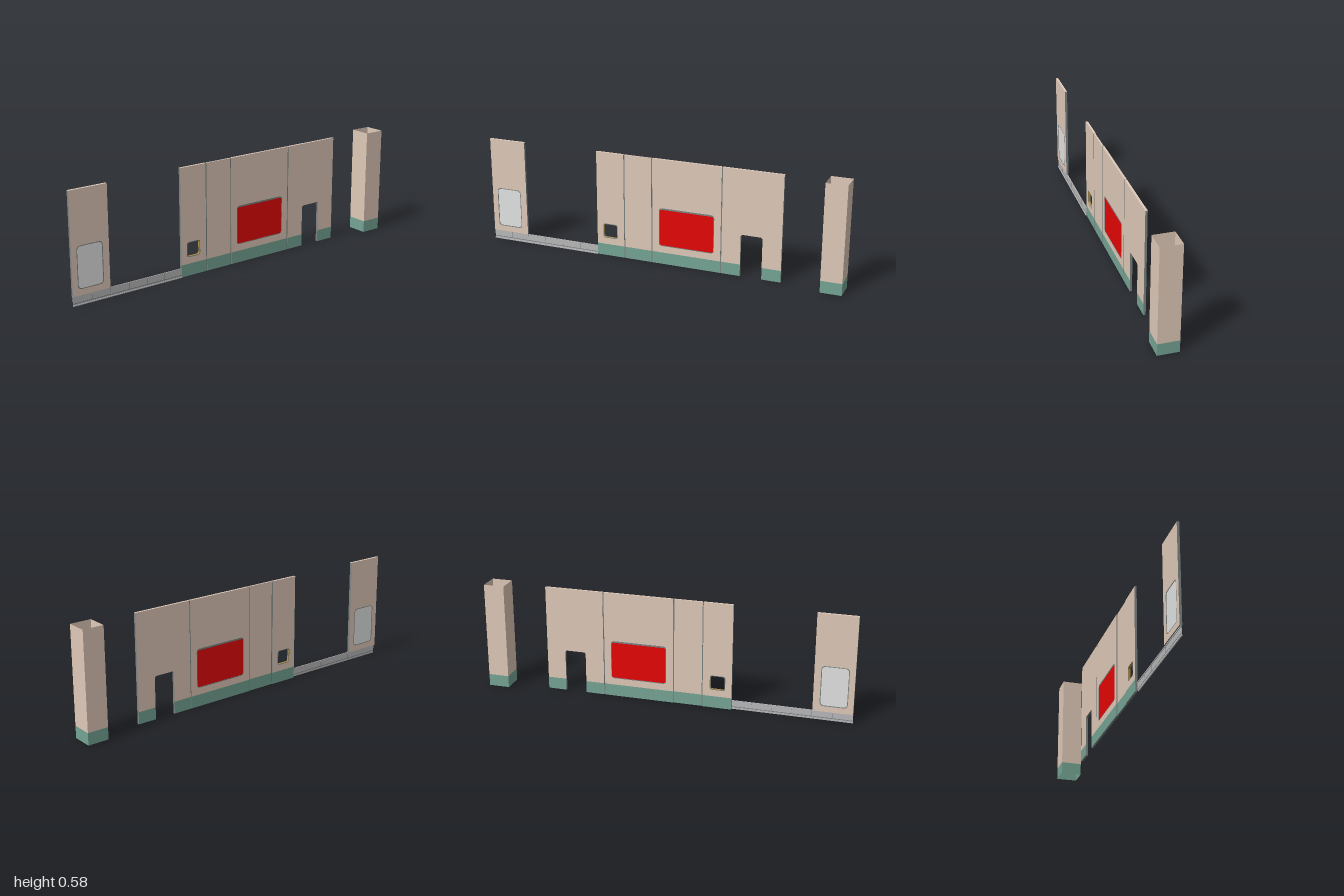
import * as THREE from 'three';

const mat = (name, color, side = THREE.FrontSide) => {
  const m = new THREE.MeshStandardMaterial({ color, side });
  m.name = name;
  return m;
};

// Rounded rectangle in (u, y), where u = -z
function rounded(path, u0, u1, y0, y1, r) {
  path.moveTo(u0 + r, y0);
  path.lineTo(u1 - r, y0);
  path.quadraticCurveTo(u1, y0, u1, y0 + r);
  path.lineTo(u1, y1 - r);
  path.quadraticCurveTo(u1, y1, u1 - r, y1);
  path.lineTo(u0 + r, y1);
  path.quadraticCurveTo(u0, y1, u0, y1 - r);
  path.lineTo(u0, y0 + r);
  path.quadraticCurveTo(u0, y0, u0 + r, y0);
  return path;
}

// Extrude a (u, y) shape along x between x0 and x1
function slab(shape, x0, x1) {
  const g = new THREE.ExtrudeGeometry(shape, { depth: x1 - x0, bevelEnabled: false, curveSegments: 5 });
  return g.translate(0, 0, x0).rotateY(Math.PI / 2);
}

const polygon = (pts) => new THREE.Shape(pts.map(([u, y]) => new THREE.Vector2(u, y)));
const rect = (u0, u1, y0, y1) => polygon([[u0, y0], [u1, y0], [u1, y1], [u0, y1]]);

// Flat ring between two rounded rectangles
function ring(outer, inner) {
  const shape = rounded(new THREE.Shape(), ...outer);
  shape.holes.push(rounded(new THREE.Path(), ...inner));
  return shape;
}

export function createModel() {
  const model = new THREE.Group();
  const wall = mat('beige wall', 0xdfc9b8);
  const base = mat('green skirting', 0x75a594);
  const edge = mat('dark edge', 0x7c8482);
  const red = mat('red panel', 0xe60606);
  const glass = mat('grey glass', 0xe2e3e3);
  const gold = mat('gold trim', 0xb08f45);
  const steel = mat('grey steel', 0xb8b8ba);
  const shell = mat('beige column', 0xdfc9b8, THREE.DoubleSide);
  const shellBase = mat('green column base', 0x75a594, THREE.DoubleSide);

  const add = (name, geometry, material, parent = model) => {
    const m = new THREE.Mesh(geometry, material);
    m.name = name;
    parent.add(m);
  };
  const box = (x0, x1, y0, y1, z0, z1) =>
    new THREE.BoxGeometry(x1 - x0, y1 - y0, z1 - z0).translate((x0 + x1) / 2, (y0 + y1) / 2, (z0 + z1) / 2);

  const H = 0.584, BAND = 0.065;

  // One wall panel: beige body, green skirting, dark ends and a beige top edge
  function panel(name, u0, u1, x0, x1, { hole, door, bottom = BAND } = {}) {
    const group = new THREE.Group();
    group.name = name;
    const top = H - 0.002;
    let shape = rect(u0, u1, bottom, top);
    let spans = [[u0, u1]];
    if (door) {
      const [d0, d1, dy] = door, r = 0.008;
      shape = polygon([[u0, bottom], [d0, bottom], [d0, dy - r], [d0 + r, dy], [d1 - r, dy],
        [d1, dy - r], [d1, bottom], [u1, bottom], [u1, top], [u0, top]]);
      spans = [[u0, d0], [d1, u1]];
    }
    if (hole) shape.holes.push(rounded(new THREE.Path(), ...hole));
    add('wallBody', slab(shape, x0, x1), [wall, edge], group);
    add('topEdge', box(x0, x1, top, H, -u1, -u0), wall, group);
    if (bottom === BAND) {
      for (const [a, b] of spans) add('skirting', slab(rect(a, b, 0, BAND), x0, x1), [base, edge], group);
    }
    model.add(group);
  }

  const redHole = [-0.004, 0.305, 0.102, 0.316, 0.02];
  const redPane = [0, 0.301, 0.106, 0.307, 0.01];
  const smallHole = [-0.327, -0.243, 0.101, 0.183, 0.014];
  const smallInner = [-0.323, -0.247, 0.105, 0.179, 0.012];
  const glassHole = [-0.97, -0.825, 0.081, 0.303, 0.022];
  const glassPane = [-0.966, -0.829, 0.085, 0.299, 0.02];
  panel('frontPanel', -1, -0.79, 0.005, 0.018, { hole: glassHole, bottom: 0.05 });
  panel('smallWindowPanel', -0.362, -0.205, 0.001, 0.013, { hole: smallHole });
  panel('plainPanel', -0.199, -0.047, 0.004, 0.013);
  panel('redWindowPanel', -0.041, 0.341, 0.001, 0.013, { hole: redHole });
  panel('doorwayPanel', 0.347, 0.67, 0.001, 0.013, { door: [0.45, 0.567, 0.232] });

  // Dark joints between the panels
  for (const z of [0.202, 0.044, -0.344]) {
    add('joint', box(0.0045, 0.012, 0, H - 0.002, z - 0.003, z + 0.003), edge);
  }

  // Fillings and frames of the openings
  add('redFrame', slab(ring(redHole, redPane), 0.001, 0.013), edge);
  add('redPane', slab(rounded(new THREE.Shape(), ...redPane), 0.002, 0.012), red);
  add('glassFrame', slab(ring(glassHole, glassPane), 0.005, 0.018), edge);
  add('glassPane', slab(rounded(new THREE.Shape(), ...glassPane), 0.007, 0.016), glass);
  add('smallWindowTrim', slab(ring(smallHole, smallInner), 0.001, 0.013), [edge, gold]);

  // Low guard strip: thin sheet with a lip above and below and a dark groove line
  const strip = new THREE.Group();
  strip.name = 'guardStrip';
  model.add(strip);
  add('sheet', box(0.0135, 0.0148, 0, 0.05, 0.362, 1), steel, strip);
  add('topLip', box(0.0105, 0.0135, 0.044, 0.05, 0.362, 1), steel, strip);
  add('bottomLip', box(0.0148, 0.0185, 0, 0.005, 0.362, 1), steel, strip);
  add('groove', box(0.0131, 0.0152, 0.011, 0.015, 0.362, 1), edge, strip);
  for (let i = 1; i < 6; i++) {
    const z = 0.362 + i * 0.1063;
    add('divider', box(0.0132, 0.0151, 0.015, 0.05, z - 0.001, z + 0.001), edge, strip);
  }

  // Hollow square column, open at both ends
  const tube = (y0, y1) => {
    const g = new THREE.CylinderGeometry(0.0802, 0.0802, y1 - y0, 4, 1, true).toNonIndexed();
    g.rotateY(Math.PI / 4).translate(-0.0008, (y0 + y1) / 2, -0.9433);
    g.computeVertexNormals();
    return g;
  };
  add('columnShaft', tube(BAND, H), shell);
  add('columnBase', tube(0, BAND), shellBase);

  return model;
}
